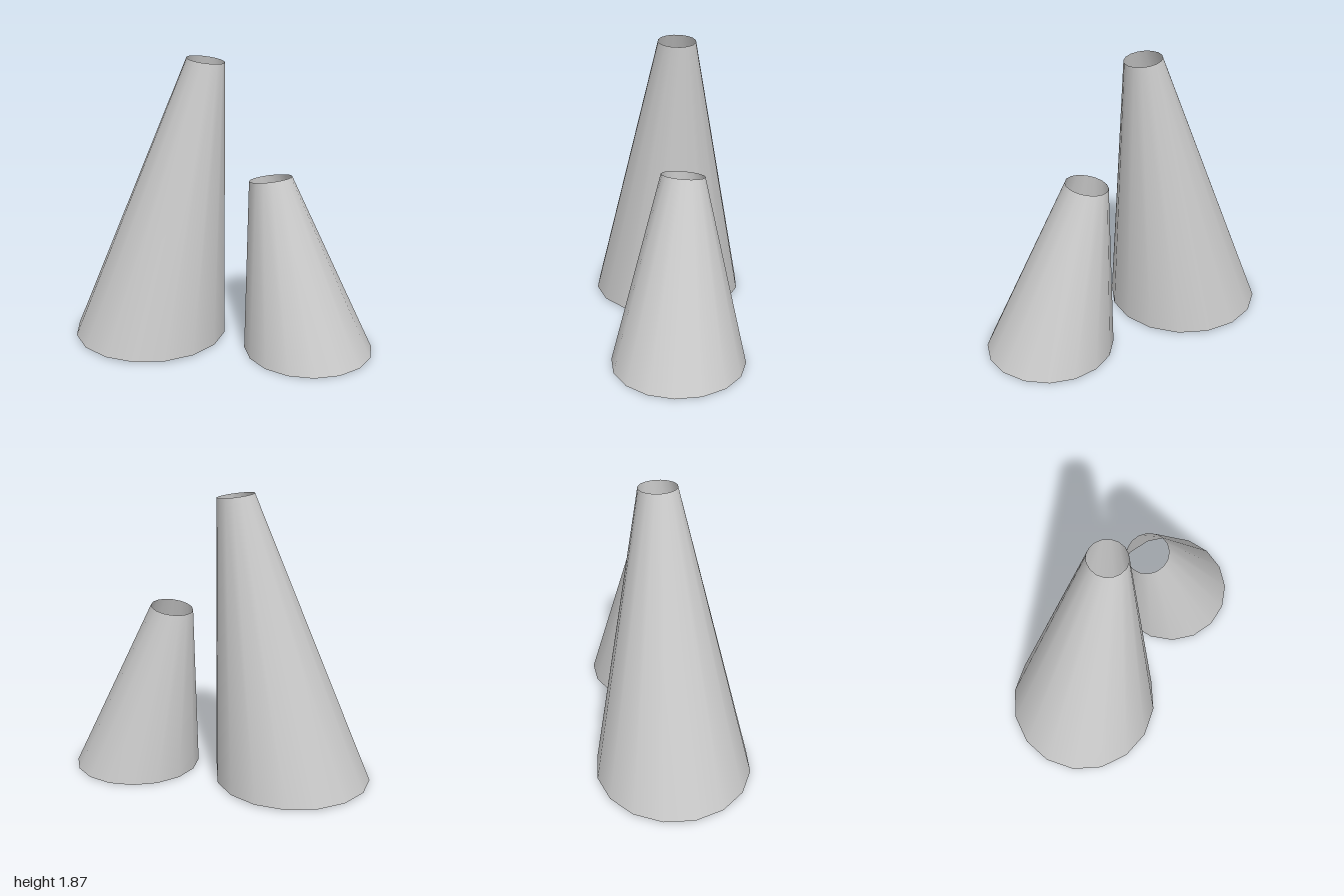
import * as THREE from 'three';
import { mergeVertices } from 'three/addons/utils/BufferGeometryUtils.js';

const SIDES = 16;
const material = new THREE.MeshStandardMaterial({ color: 0xcccccc, side: THREE.DoubleSide });

// Open, leaning, tapered sleeve between a level base ring and a tilted top ring.
// Each ring: centre [x, y, z] and radius r; the top also has slopes of y along x and z.
function sleeve(name, base, top, turn) {
  const geo = new THREE.CylinderGeometry(1, 1, 1, SIDES, 1, true, THREE.MathUtils.degToRad(turn));
  const pos = geo.attributes.position;
  for (let i = 0; i < pos.count; i++) {
    const ring = pos.getY(i) > 0 ? top : base;
    const [cx, cy, cz] = ring.centre;
    const [sx, sz] = ring.slope ?? [0, 0];
    const dx = pos.getX(i) * ring.r;
    const dz = pos.getZ(i) * ring.r;
    pos.setXYZ(i, cx + dx, cy + sx * dx + sz * dz, cz + dz);
  }
  // Weld the seam so the shading stays smooth all round
  geo.deleteAttribute('uv');
  geo.deleteAttribute('normal');
  const welded = mergeVertices(geo, 1e-4);
  welded.computeVertexNormals();
  const mesh = new THREE.Mesh(welded, material);
  mesh.name = name;
  return mesh;
}

export function createModel() {
  const group = new THREE.Group();
  group.name = 'leaningCones';
  group.add(
    sleeve('tallCone',
      { centre: [-0.495, 0.01, -0.01], r: 0.508 },
      { centre: [-0.107, 1.855, -0.013], r: 0.12, slope: [-0.13, 0] }, 0),
    sleeve('shortCone',
      { centre: [0.583, 0, 0.105], r: 0.418 },
      { centre: [0.311, 1.12, 0.026], r: 0.136, slope: [0.15, 0.11] }, 9),
  );
  return group;
}
